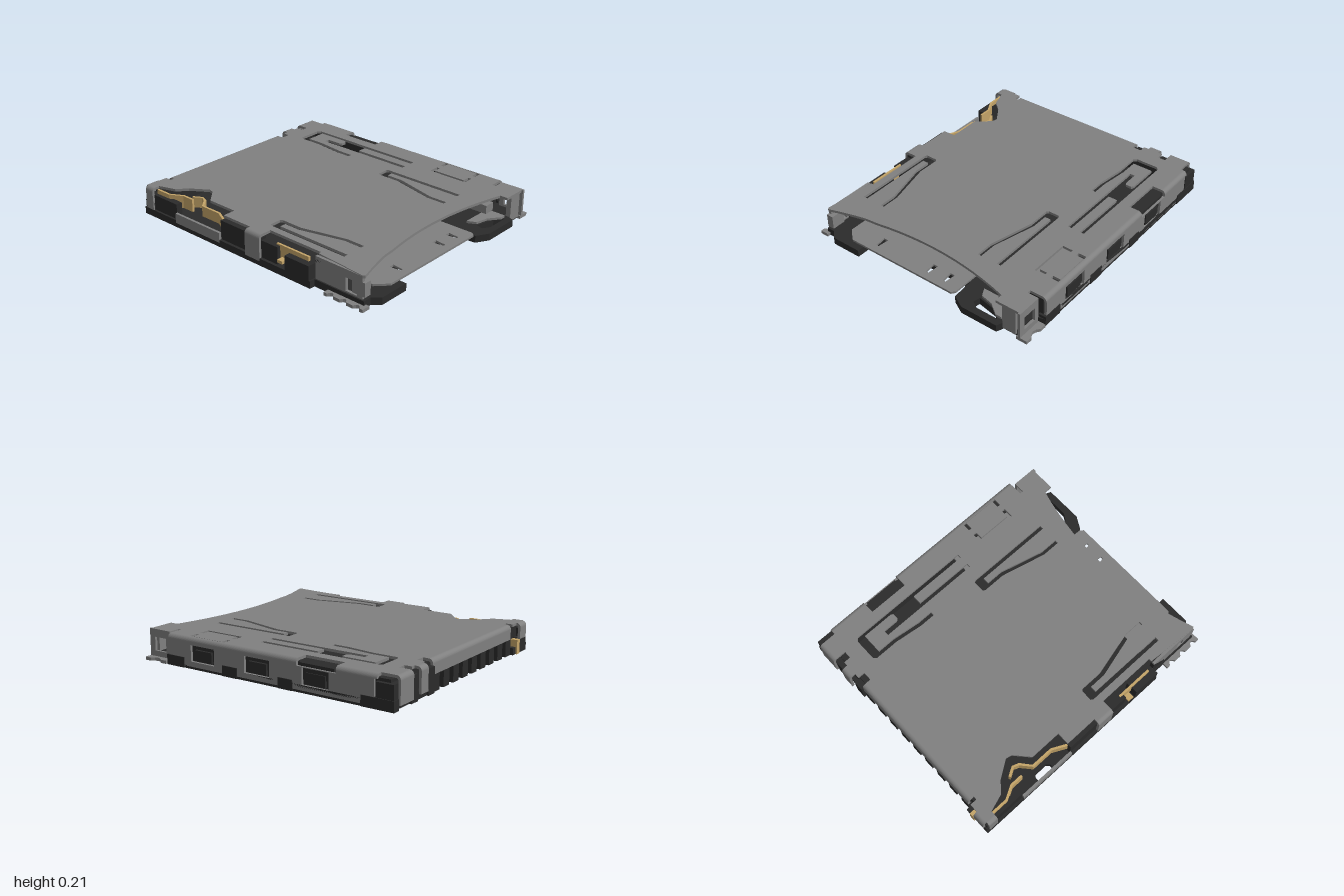
import * as THREE from 'three';

const mat = (color) => new THREE.MeshStandardMaterial({ color, roughness: 0.7, side: THREE.DoubleSide });

export function createModel() {
  const root = new THREE.Group();
  const steel = mat(0x808080), black = mat(0x2b2b2b), gold = mat(0xc4a468);

  const add = (name, geo, material) => {
    const m = new THREE.Mesh(geo, material);
    m.name = name;
    root.add(m);
    return m;
  };
  const box = (name, material, x0, x1, y0, y1, z0, z1) => {
    const g = new THREE.BoxGeometry(x1 - x0, y1 - y0, z1 - z0);
    g.translate((x0 + x1) / 2, (y0 + y1) / 2, (z0 + z1) / 2);
    return add(name, g, material);
  };
  const vecs = (pts) => pts.map(([a, b]) => new THREE.Vector2(a, b));
  const rect = (a0, a1, b0, b1) => [[a0, b0], [a1, b0], [a1, b1], [a0, b1]];
  const extrude = (pts, holes, depth) => {
    const s = new THREE.Shape(vecs(pts));
    holes.forEach((h) => s.holes.push(new THREE.Path(vecs(h))));
    return new THREE.ExtrudeGeometry(s, { depth, bevelEnabled: false });
  };
  // Flat sheet drawn in (x, z), rising from y0 to y1
  const sheet = (name, material, pts, holes, y0, y1) => {
    const flip = (l) => l.map(([x, z]) => [x, -z]);
    const g = extrude(flip(pts), holes.map(flip), y1 - y0);
    g.rotateX(-Math.PI / 2).translate(0, y0, 0);
    return add(name, g, material);
  };
  // Upright sheet drawn in (z, y), from xOuter towards -x
  const wall = (name, material, pts, holes, xOuter, t) => {
    const g = extrude(pts, holes, t);
    g.rotateY(-Math.PI / 2).translate(xOuter, 0, 0);
    return add(name, g, material);
  };
  // Rounded fold between top sheet and an upright wall
  const R = 0.03, T = 0.018, TOP = 0.21;
  const fold = (name, length) => {
    const s = new THREE.Shape();
    s.absarc(0, 0, R, 0, Math.PI / 2, false);
    s.absarc(0, 0, R - T, Math.PI / 2, 0, true);
    return add(name, new THREE.ExtrudeGeometry(s, { depth: length, bevelEnabled: false, curveSegments: 6 }), steel);
  };
  const rightFold = (z0, z1) => fold('rightFold', z1 - z0).position.set(0.82, TOP - R, z0);
  const leftFold = (x, z0, z1) => {
    const f = fold('leftFold', z1 - z0);
    f.rotation.y = Math.PI;
    f.position.set(x + R, TOP - R, z1);
  };
  const backFold = (x0, x1, z) => {
    const f = fold('backFold', x1 - x0);
    f.rotation.y = Math.PI / 2;
    f.position.set(x0, TOP - R, z + R);
  };

  // Top cover with spring slots
  const slot = [[-0.71, 0.09], [-0.7, 0.075], [-0.62, 0.075], [-0.608, 0.09], [-0.608, 0.25], [-0.53, 0.57], [-0.53, 0.7],
    [-0.557, 0.7], [-0.557, 0.57], [-0.637, 0.26], [-0.637, 0.14], [-0.68, 0.14], [-0.68, 0.7], [-0.71, 0.7]];
  const slotMirror = slot.map(([x, z]) => [-0.26 - x, z]);
  const springSlot = [[0.475, -0.77], [0.495, -0.79], [0.655, -0.79], [0.675, -0.77], [0.675, 0.13], [0.645, 0.13], [0.645, -0.3],
    [0.58, -0.3], [0.58, 0.13], [0.55, 0.13], [0.55, -0.61], [0.588, -0.61], [0.588, -0.5], [0.6, -0.485], [0.64, -0.485],
    [0.65, -0.5], [0.65, -0.73], [0.505, -0.73], [0.505, -0.6], [0.48, -0.4], [0.48, -0.29], [0.45, -0.29], [0.45, -0.4], [0.475, -0.6]];
  const cLeft = [[0.715, 0.31], [0.64, 0.31], [0.64, 0.605], [0.715, 0.605], [0.715, 0.58], [0.66, 0.58], [0.66, 0.335], [0.715, 0.335]];
  const cRight = cLeft.map(([x, z]) => [1.465 - x * 0.985, z]).map(([x, z]) => [Math.min(x, 0.818), z]);
  const arc = [];
  for (let i = 0; i <= 16; i++) {
    const x = 0.62 - i * 0.0888;
    arc.push([x, 0.815 + 0.225 * (x + 0.02) ** 2 - (x < -0.5 ? 0.01 : 0)]);
  }
  const cover = [
    [-0.83, -0.97], [-0.68, -0.97], [-0.68, -0.92], [-0.655, -0.92], [-0.655, -0.94], [0.39, -0.94], [0.39, -0.9], [0.455, -0.9],
    [0.455, -0.95], [0.49, -0.95], [0.6, -0.95], [0.6, -0.9], [0.655, -0.9], [0.655, -0.97], [0.8, -0.97], [0.8, -0.87], [0.82, -0.87],
    [0.82, -0.58], [0.75, -0.58], [0.75, -0.29], [0.82, -0.29], [0.82, 0.77], [0.73, 0.77], [0.73, 0.795], [0.8, 0.795],
    [0.8, 0.965], [0.62, 0.965], ...arc, [-0.81, 0.93], [-0.78, 0.56], [-0.76, 0.56], [-0.76, 0.13], [-0.83, 0.13],
    [-0.83, 0], [-0.81, 0], [-0.81, -0.24], [-0.72, -0.24], [-0.72, -0.47], [-0.62, -0.56], [-0.61, -0.6], [-0.69, -0.72],
    [-0.76, -0.78], [-0.8, -0.9], [-0.83, -0.9]];
  sheet('topCover', steel, cover, [slot, slotMirror, springSlot, cLeft, cRight], TOP - T, TOP);

  // Folds and side walls of the cover
  [[-0.87, -0.58], [-0.29, 0.77]].forEach(([a, b]) => rightFold(a, b));
  wall('rightWall', steel, [
    [-0.85, 0.18], [-0.85, 0.07], [-0.76, 0.07], [-0.76, 0.015], [-0.26, 0.015], [-0.26, 0.07], [-0.15, 0.07], [-0.15, 0.015],
    [0.18, 0.015], [0.18, 0.07], [0.3, 0.07], [0.3, 0.015], [0.63, 0.015], [0.63, 0.07], [0.765, 0.07], [0.765, 0.18],
    [-0.29, 0.18], [-0.29, 0.165], [-0.58, 0.165], [-0.58, 0.18]],
  [0.47, 0.02, -0.43].map((z) => rect(z - 0.1, z + 0.1, 0.05, 0.16)), 0.85, T);
  wall('frontRightWall', steel, rect(0.795, 0.975, 0.015, TOP), [rect(0.83, 0.93, 0.06, 0.155)], 0.81, T);
  leftFold(-0.86, 0, 0.13);
  leftFold(-0.86, -0.97, -0.9);
  wall('leftWallMid', steel, rect(0, 0.13, 0.03, 0.18), [], -0.842, T);
  wall('leftWallRear', steel, rect(-0.97, -0.9, 0.05, 0.18), [], -0.842, T);
  wall('leftWallLow', steel, rect(-0.67, -0.24, 0.03, 0.1), [], -0.842, T);
  wall('leftWallFront', steel, rect(0.56, 0.93, 0.02, TOP - 0.005), [rect(0.8, 0.89, 0.06, 0.15)], -0.79, 0.02);
  backFold(-0.655, 0.39, -0.97);
  box('backFlange', steel, -0.655, 0.39, 0.11, 0.18, -0.97, -0.952);
  [[0.655, 0.8, 0.03], [0.49, 0.57, 0.04], [-0.83, -0.74, 0.1]].forEach(([a, b, y]) => {
    backFold(a, b, -1);
    box('backTab', steel, a, b, y, 0.18, -1, -0.982);
  });
  box('backTabBridge', steel, 0.49, 0.57, TOP - T, TOP, -0.97, -0.94);
  // Front corner posts and guides
  box('frontRightPost', steel, 0.67, 0.77, 0.02, 0.2, 0.93, 0.965);
  box('frontLeftPost', steel, -0.81, -0.76, 0.07, 0.165, 0.85, 0.95);
  box('sliderHook', steel, 0.55, 0.63, 0.08, 0.14, 0.55, 0.85);
  box('sliderSpring', steel, 0.51, 0.7, 0.16, 0.175, 0.1, 0.8);

  // Scalloped solder ears at the front corners
  const ear = (name, xIn, xOut, z0, z1, n) => {
    const pts = [[xIn, z0]], d = Math.sign(xOut - xIn);
    for (let i = 0; i <= n * 8; i++) {
      const bite = Math.max(0, Math.sin((i / 8) * Math.PI * 2 - Math.PI / 2));
      pts.push([xOut - d * 0.025 * bite, z0 + ((z1 - z0) * i) / (n * 8)]);
    }
    pts.push([xIn, z1]);
    sheet(name, steel, pts, [], 0, 0.022);
  };
  ear('leftEar', -0.8, -0.86, 0.67, 0.975, 3);
  ear('rightEar', 0.78, 0.86, 0.79, 0.975, 1);

  // Moulded base with front recess, feet and open hook
  sheet('baseFloor', black, [
    [-0.86, -0.99], [-0.66, -0.99], [-0.66, -0.93], [0.4, -0.93], [0.4, -0.97], [0.85, -0.97], [0.85, 0.78], [0.78, 0.8],
    [0.78, 0.95], [0.67, 0.95], [0.65, 1], [0.38, 1], [0.29, 0.95], [0.28, 0.8], [-0.42, 0.8], [-0.49, 0.9], [-0.49, 1],
    [-0.71, 1], [-0.76, 0.95], [-0.82, 0.95], [-0.82, 0.56], [-0.86, 0.56]],
  [[[0.42, 0.87], [0.57, 0.9], [0.62, 0.95], [0.46, 0.95], [0.41, 0.92]],
    [[-0.84, -0.52], [-0.81, -0.52], [-0.79, -0.5], [-0.79, -0.41], [-0.81, -0.39], [-0.84, -0.39]]], 0, 0.05);
  [[0.63, 0.78], [0.18, 0.3], [-0.26, -0.15], [-0.99, -0.76]].forEach(([a, b]) =>
    box('baseLug', black, 0.8, 0.855, 0, 0.07, a, b));
  box('rightRail', black, 0.7, 0.825, 0.04, 0.185, -0.95, 0.765);
  box('rearRightCorner', black, 0.6, 0.85, 0.03, 0.165, -0.985, -0.86);
  [0.47, 0.02, -0.43].forEach((z) => box('windowLatch', black, 0.82, 0.842, 0.055, 0.13, z - 0.07, z + 0.07));
  box('notchLatch', black, 0.78, 0.835, 0.1, 0.185, -0.56, -0.31);
  box('leftRailMid', black, -0.84, -0.8, 0.04, 0.185, -0.24, 0.13);
  box('leftRailFront', black, -0.81, -0.78, 0.04, 0.185, 0.56, 0.78);
  box('leftRailRear', black, -0.845, -0.8, 0.04, 0.16, -0.98, -0.67);
  box('switchHousing', black, -0.86, -0.77, 0, 0.15, 0.35, 0.55);
  box('switchHousingRear', black, -0.84, -0.77, 0, 0.17, 0.13, 0.27);
  box('backWall', black, -0.8, 0.65, 0.04, 0.19, -0.94, -0.87);
  [0.425, 0.62].forEach((x) => box('backPillar', black, x - 0.035, x + 0.035, 0, 0.17, -0.985, -0.9));
  box('rearLeftCorner', black, -0.85, -0.76, 0, 0.1, -0.99, -0.9);

  // Row of contact teeth under the back edge
  for (let i = 0; i < 9; i++) {
    const x = -0.62 + i * 0.12;
    box('contactTooth', black, x - 0.035, x + 0.035, 0, 0.11, -0.97, -0.9);
  }

  // Contact tray under the card mouth, with narrow slits
  const slit = (x) => [[x - 0.018, 0.82], [x + 0.018, 0.82], [x + 0.01, 0.9], [x - 0.01, 0.9]];
  sheet('contactTray', steel, [[-0.66, 0.6], [0.28, 0.6], [0.28, 0.93], [0.26, 0.955], [-0.58, 0.955], [-0.62, 0.92], [-0.66, 0.88]],
    [-0.41, 0.02, 0.16].map(slit), 0.056, 0.07);
  sheet('hookTray', steel, [[0.4, 0.8], [0.64, 0.8], [0.64, 0.94], [0.6, 0.94], [0.52, 0.88], [0.43, 0.86]], [], 0.052, 0.068);

  // Gold spring strips following a bent path
  const strip = (name, path, y0, y1, t) => {
    const side = (s) => path.map(([x, z], i) => {
      const a = path[Math.max(i - 1, 0)], b = path[Math.min(i + 1, path.length - 1)];
      const l = Math.hypot(b[0] - a[0], b[1] - a[1]);
      return [x - (s * t * (b[1] - a[1])) / l, z + (s * t * (b[0] - a[0])) / l];
    });
    sheet(name, gold, [...side(1), ...side(-1).reverse()], [], y0, y1);
  };
  strip('detectSpringRear', [[-0.81, -0.9], [-0.81, -0.78], [-0.76, -0.69], [-0.76, -0.6]], 0.1, 0.19, 0.008);
  strip('detectSpringFront', [[-0.81, -0.24], [-0.76, -0.34], [-0.76, -0.5], [-0.69, -0.56], [-0.675, -0.6], [-0.71, -0.66]], 0.1, 0.175, 0.008);
  box('detectTerminal', gold, -0.74, -0.7, 0, 0.1, -1, -0.95);
  box('switchContact', gold, -0.815, -0.8, 0.08, 0.18, 0.24, 0.51);
  box('switchTerminal', gold, -0.86, -0.815, 0.08, 0.1, 0.285, 0.33);
  return root;
}
